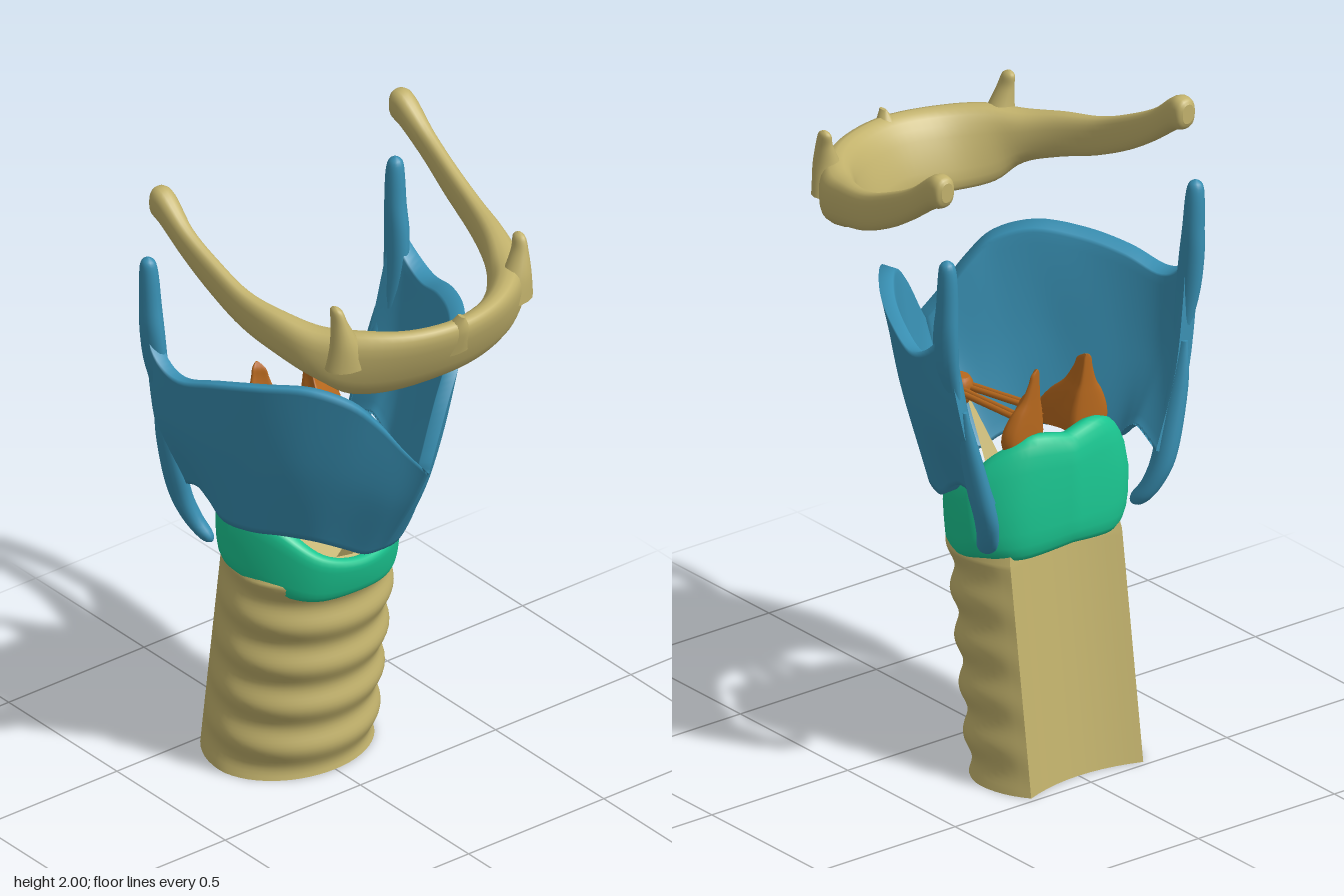
import * as THREE from 'three';

const V = (x, y, z) => new THREE.Vector3(x, y, z);
const mat = (color) => new THREE.MeshStandardMaterial({ color, side: THREE.DoubleSide });
const BONE = mat(0xc2b26c), BLUE = mat(0x388fb2), GREEN = mat(0x1bc892), ORANGE = mat(0xb8691e);

// Smooth interpolation of rows of numbers
function sample(rows, n) {
  const last = rows.length - 1;
  const out = [];
  for (let k = 0; k <= n; k++) {
    const t = (k / n) * last, i = Math.min(Math.floor(t), last - 1), f = t - i;
    const a = rows[Math.max(i - 1, 0)], b = rows[i], c = rows[i + 1], d = rows[Math.min(i + 2, last)];
    out.push(b.map((_, j) => b[j] + 0.5 * f * (c[j] - a[j] +
      f * (2 * a[j] - 5 * b[j] + 4 * c[j] - d[j] + f * (3 * (b[j] - c[j]) + d[j] - a[j])))));
  }
  return out;
}

// Half rows followed across the middle by their mirror image; xs = columns holding x
function mirrored(half, xs = [0]) {
  const other = half.slice(1).reverse().map((r) => r.map((v, j) => (xs.includes(j) ? -v : v)));
  return [...other, ...half];
}

// Skin over closed cross-sections; caps lists the closed ends, joined makes a loop
function loft(rings, { joined = false, caps = joined ? [] : ['start', 'end'] } = {}) {
  const n = rings[0].length, pts = rings.flat(), idx = [];
  const bands = joined ? rings.length : rings.length - 1;
  for (let i = 0; i < bands; i++) {
    const r0 = i * n, r1 = ((i + 1) % rings.length) * n;
    for (let j = 0; j < n; j++) {
      const k = (j + 1) % n;
      idx.push(r0 + j, r0 + k, r1 + j, r0 + k, r1 + k, r1 + j);
    }
  }
  for (const cap of caps) {
    const ring = cap === 'end' ? rings[rings.length - 1] : rings[0];
    const base = pts.length, mid = V(0, 0, 0);
    ring.forEach((p) => mid.addScaledVector(p, 1 / n));
    pts.push(...ring, mid);
    for (let j = 0; j < n; j++) {
      const a = base + j, b = base + ((j + 1) % n);
      idx.push(base + n, ...(cap === 'end' ? [a, b] : [b, a]));
    }
  }
  // turn the faces outward
  let volume = 0;
  const w = V(0, 0, 0);
  for (let i = 0; i < idx.length; i += 3) {
    volume += pts[idx[i]].dot(w.crossVectors(pts[idx[i + 1]], pts[idx[i + 2]]));
  }
  if (volume < 0) idx.reverse();
  const g = new THREE.BufferGeometry().setFromPoints(pts);
  g.setIndex(idx);
  g.computeVertexNormals();
  return g;
}

// Upright tapering stalk from rows [x, y, z, rx, rz]
function stalk(rows, side = 1, steps = 24, sides = 16) {
  return loft(sample(rows, steps).map(([x, y, z, rx, rz]) => Array.from({ length: sides }, (_, j) => {
    const a = (j / sides) * Math.PI * 2;
    return V(side * (x + rx * Math.cos(a)), y, z + rz * Math.sin(a));
  })));
}

// Rounded-box direction: exponent e < 1 squares the circle
const round = (v, e) => Math.sign(v) * Math.pow(Math.abs(v), e);

// Ringed tube, open below and closed by a sloping floor inside the cricoid
function trachea() {
  const ring = (y, k = 1, tilt = 0) => {
    const zc = -0.325 + 0.14 * y, pts = [];
    const end = THREE.MathUtils.degToRad(127);
    for (let i = 0; i <= 40; i++) {
      const a = -end + (2 * end * i) / 40, c = Math.cos(a);
      const bulge = 0.01 * Math.cos(((y + 0.03 * c - 0.13) / 0.145) * Math.PI * 2);
      const fade = Math.min(1, 3 * (1 - Math.abs(a) / end));
      pts.push([(0.258 + bulge * fade) * Math.sin(a), c * ((c > 0 ? 0.213 : 0.262) + bulge * fade)]);
    }
    // hollowed back wall, with sharp corners
    const [cx, cz] = pts[40];
    for (let i = 0; i <= 10; i++) {
      const u = 1 - i / 5;
      pts.push([cx * u, cz + 0.04 * (1 - u * u)]);
    }
    return pts.map(([x, z]) => V(x * k, y - tilt * z, zc + z * k));
  };
  const rings = Array.from({ length: 57 }, (_, i) => ring(i * 0.0125));
  rings.push(ring(0.74, 0.95, 0.1), ring(0.795, 0.88, 0.42));
  return loft(rings, { caps: ['end'] });
}

function cricoid() {
  // outer x, outer z, inner x, inner z, bottom y, top y, from front to back
  const half = [
    [0, 0.04, 0, -0.015, 0.645, 0.775], [0.14, 0.0, 0.1, -0.04, 0.64, 0.80],
    [0.23, -0.1, 0.165, -0.11, 0.66, 0.88], [0.288, -0.25, 0.185, -0.2, 0.695, 0.95],
    [0.272, -0.33, 0.165, -0.28, 0.71, 1.03], [0.18, -0.405, 0.1, -0.335, 0.705, 1.085],
    [0, -0.438, 0, -0.345, 0.725, 1.07]];
  const rows = sample(mirrored(half, [0, 2]), 72).slice(0, -1);
  return loft(rows.map(([ox, oz, ix, iz, yb, yt]) => Array.from({ length: 20 }, (_, j) => {
    const a = (j / 20) * Math.PI * 2;
    const u = 0.5 + 0.5 * round(Math.cos(a), 0.6), v = 0.5 + 0.5 * round(Math.sin(a), 0.6);
    const y = yb + (yt - yb) * v;
    const narrow = 1 - Math.max(0, y - 0.9);
    const slant = 0.04 * (1 - v) * THREE.MathUtils.clamp((iz + 0.2) / 0.2, 0, 1);
    return V((ix + (ox - ix) * u) * narrow, y, iz + (oz - iz) * u - slant);
  })), { joined: true });
}

function thyroidPlates() {
  // bottom, middle and top points of the outer face, from the midline back
  const rows = sample([
    [0, 0.84, 0.105, 0, 1.045, 0.237, 0, 1.19, 0.317],
    [0.06, 0.84, 0.095, 0.07, 1.07, 0.212, 0.06, 1.27, 0.285],
    [0.12, 0.87, 0.075, 0.14, 1.12, 0.172, 0.13, 1.37, 0.25],
    [0.19, 0.90, 0.03, 0.22, 1.165, 0.11, 0.2, 1.445, 0.21],
    [0.25, 0.905, -0.05, 0.29, 1.18, 0.03, 0.29, 1.485, 0.12],
    [0.30, 0.90, -0.13, 0.35, 1.17, -0.08, 0.38, 1.475, 0.0],
    [0.33, 0.905, -0.22, 0.4, 1.17, -0.18, 0.442, 1.45, -0.13],
    [0.34, 0.955, -0.28, 0.43, 1.18, -0.27, 0.475, 1.42, -0.25],
    [0.34, 0.975, -0.34, 0.435, 1.19, -0.35, 0.483, 1.45, -0.34],
    [0.335, 0.93, -0.44, 0.415, 1.19, -0.435, 0.472, 1.52, -0.41]], 45);
  const half = rows.map((r, i) => {
    const a = rows[Math.max(i - 1, 0)], b = rows[Math.min(i + 1, rows.length - 1)];
    const inward = i ? V(b[5] - a[5], 0, a[3] - b[3]).normalize() : V(0, 0, -1);
    const col = sample([r.slice(0, 3), r.slice(3, 6), r.slice(6)], 16).map((p) => V(...p));
    const inner = col.map((p, j) => {
      const edge = j === 0 ? 0.012 : j === 16 ? -0.012 : 0;
      const q = p.clone().addScaledVector(inward, 0.042);
      return V(Math.max(q.x, 0), q.y + edge, q.z);
    });
    return [...col, ...inner.reverse()];
  });
  const other = half.slice(1).reverse().map((ring) => ring.map((p) => V(-p.x, p.y, p.z)));
  return loft([...other, ...half]);
}

function hyoid() {
  // x, y, z, half width, half height, forward lean
  const half = [
    [0, 1.66, 0.41, 0.046, 0.11, 0.42], [0.15, 1.655, 0.378, 0.048, 0.115, 0.4],
    [0.27, 1.665, 0.316, 0.054, 0.11, 0.25], [0.345, 1.69, 0.24, 0.054, 0.08, 0],
    [0.393, 1.72, 0.13, 0.04, 0.069, 0], [0.424, 1.752, 0, 0.028, 0.061, 0],
    [0.437, 1.808, -0.13, 0.025, 0.057, 0], [0.445, 1.87, -0.24, 0.026, 0.052, 0],
    [0.444, 1.94, -0.335, 0.035, 0.055, 0], [0.443, 1.952, -0.378, 0.034, 0.048, 0],
    [0.443, 1.955, -0.392, 0.02, 0.03, 0]];
  const rows = sample(mirrored(half), 100);
  return loft(rows.map(([x, y, z, hw, hh, lean], i) => {
    const a = rows[Math.max(i - 1, 0)], b = rows[Math.min(i + 1, 100)];
    const out = V(a[2] - b[2], 0, b[0] - a[0]).normalize();
    return Array.from({ length: 20 }, (_, j) => {
      const t = (j / 20) * Math.PI * 2, dy = hh * round(Math.sin(t), 0.8);
      return V(x, y + dy, z + lean * dy).addScaledVector(out, hw * round(Math.cos(t), 0.8));
    });
  }));
}

function arytenoid(side) {
  const base = new THREE.CatmullRomCurve3([V(0.035, 0, -0.2), V(0.1, 0, -0.25), V(0.15, 0, -0.29),
    V(0.188, 0, -0.32), V(0.17, 0, -0.356), V(0.1, 0, -0.36), V(0.055, 0, -0.345), V(0.055, 0, -0.28)], true)
    .getPoints(32).slice(0, 32);
  // height and scale towards the tip
  const levels = sample([[1.03, 0.9], [1.06, 1], [1.1, 0.95], [1.15, 0.72], [1.19, 0.45], [1.24, 0.27], [1.27, 0.2], [1.285, 0.06]], 28);
  return loft(levels.map(([y, k]) => base.map((p) =>
    V(side * (0.09 + (p.x - 0.09) * k), y, -0.355 + (p.z + 0.355) * k - (y - 1.03) * 0.05))));
}

export function createModel() {
  const model = new THREE.Group();
  const add = (name, geometry, material) => {
    const m = new THREE.Mesh(geometry, material);
    m.name = name;
    model.add(m);
  };

  add('trachea', trachea(), BONE);
  add('cricoidCartilage', cricoid(), GREEN);
  add('thyroidCartilage', thyroidPlates(), BLUE);
  add('hyoidBone', hyoid(), BONE);
  add('hyoidCrest', stalk([[0, 1.66, 0.42, 0.07, 0.04], [0, 1.74, 0.45, 0.035, 0.034], [0, 1.79, 0.468, 0.006, 0.015]]), BONE);

  for (const side of [1, -1]) {
    const tag = side > 0 ? 'left' : 'right';
    add(tag + 'SuperiorHorn', stalk([[0.405, 1.22, -0.39, 0.008, 0.02], [0.44, 1.38, -0.39, 0.026, 0.044],
      [0.452, 1.5, -0.396, 0.031, 0.045], [0.453, 1.6, -0.404, 0.03, 0.036], [0.455, 1.69, -0.408, 0.027, 0.031],
      [0.457, 1.735, -0.409, 0.021, 0.023], [0.457, 1.75, -0.409, 0.004, 0.005]], side), BLUE);
    add(tag + 'InferiorHorn', stalk([[0.405, 1.26, -0.415, 0.01, 0.02], [0.388, 1.15, -0.42, 0.024, 0.034],
      [0.352, 1.0, -0.423, 0.032, 0.042], [0.325, 0.9, -0.422, 0.032, 0.04], [0.302, 0.83, -0.402, 0.03, 0.036],
      [0.284, 0.785, -0.375, 0.026, 0.036], [0.277, 0.762, -0.362, 0.016, 0.022], [0.276, 0.757, -0.36, 0.004, 0.006]], side), BLUE);
    add(tag + 'LesserHorn', stalk([[0.3, 1.67, 0.315, 0.075, 0.055], [0.318, 1.75, 0.325, 0.045, 0.042],
      [0.333, 1.82, 0.32, 0.023, 0.03], [0.338, 1.86, 0.312, 0.015, 0.024], [0.34, 1.873, 0.31, 0.004, 0.006]], side), BONE);
    add(tag + 'Arytenoid', arytenoid(side), ORANGE);
    // paired strands of the vocal ligament
    for (const dx of [-0.009, 0.009]) {
      const path = new THREE.LineCurve3(V(side * (0.045 + dx), 1.07, -0.23), V(side * (0.022 + dx), 1.04, 0.09));
      add(tag + 'VocalLigament', new THREE.TubeGeometry(path, 4, 0.009, 8), ORANGE);
    }
    // membrane strip from the cricoid rim up to the midline
    const strip = new THREE.BufferGeometry().setFromPoints([V(side * 0.08, 0.79, -0.01),
      V(side * 0.015, 0.775, -0.015), V(side * 0.01, 1.03, 0.1), V(side * 0.035, 0.96, 0.075)]);
    strip.setIndex(side > 0 ? [0, 2, 1, 0, 3, 2] : [0, 1, 2, 0, 2, 3]);
    strip.computeVertexNormals();
    add(tag + 'CricothyroidMembrane', strip, BONE);
  }

  // front anchor of the vocal ligaments
  add('ligamentAnchor', stalk([[0, 0.99, 0.11, 0.02, 0.025], [0, 1.01, 0.11, 0.034, 0.038],
    [0, 1.05, 0.11, 0.038, 0.042], [0, 1.075, 0.108, 0.025, 0.03]], 1, 8, 10), ORANGE);
  return model;
}
